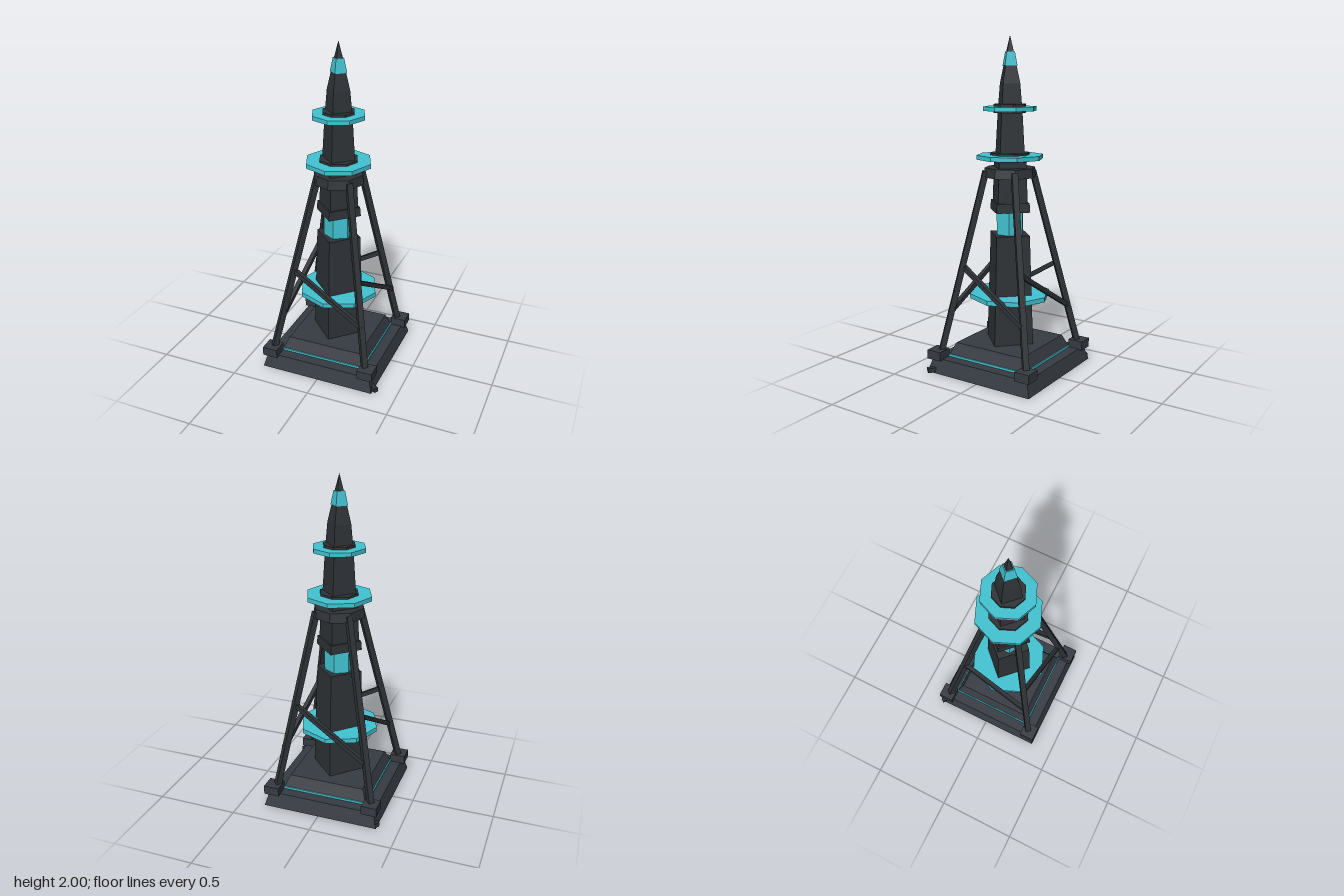
import * as THREE from 'three';

export function createModel() {
  const mat = (name, color) => {
    const m = new THREE.MeshStandardMaterial({ color, flatShading: true });
    m.name = name;
    return m;
  };
  const stone = mat('slate base', 0x363b42);
  const metal = mat('dark metal', 0x2f3337);
  const glow = mat('teal', 0x42c3d2);

  const root = new THREE.Group();
  root.name = 'beaconTower';
  const tower = new THREE.Group();
  tower.name = 'tower';
  tower.position.x = -0.007;
  root.add(tower);

  const add = (name, geometry, material) => {
    const mesh = new THREE.Mesh(geometry, material);
    mesh.name = name;
    tower.add(mesh);
    return mesh;
  };

  // Faceted frustum from y0 to y1, with a corner facing the front
  const frustum = (name, sides, r0, r1, y0, y1, material) => {
    const mesh = add(name, new THREE.CylinderGeometry(r1, r0, y1 - y0, sides), material);
    mesh.position.y = (y0 + y1) / 2;
    return mesh;
  };

  // Square slab with flat sides facing the front; sizes are half-widths
  const slab = (name, h0, h1, y0, y1, material) => {
    frustum(name, 4, h0 * Math.SQRT2, h1 * Math.SQRT2, y0, y1, material).rotation.y = Math.PI / 4;
  };

  // Square bar between two points
  const bar = (name, a, b, width, material) => {
    const mesh = add(name, new THREE.BoxGeometry(width, width, a.distanceTo(b)), material);
    mesh.position.copy(a).add(b).multiplyScalar(0.5);
    mesh.lookAt(b.clone().add(new THREE.Vector3(0, 0, 0)));
    return mesh;
  };

  // Stepped base
  slab('plinth', 0.36, 0.335, 0, 0.088, stone);
  slab('plinthGlowStrip', 0.271, 0.271, 0.088, 0.101, glow);
  slab('upperStep', 0.264, 0.235, 0.101, 0.17, stone);

  // Central column, square in section and set on its corner
  frustum('lowerColumn', 4, 0.167, 0.141, 0.17, 0.835, metal);
  frustum('lightCore', 6, 0.088, 0.088, 0.83, 0.98, glow);
  frustum('columnRim', 4, 0.143, 0.138, 0.975, 1.03, metal);
  frustum('upperColumn', 4, 0.125, 0.113, 1.03, 1.285, metal);
  frustum('legCollar', 8, 0.161, 0.152, 1.18, 1.235, metal);

  // Ring plates and their hubs
  frustum('lowerRing', 8, 0.245, 0.245, 0.445, 0.473, glow);
  frustum('middleHub', 8, 0.122, 0.118, 1.272, 1.322, metal);
  frustum('middleRing', 8, 0.2, 0.2, 1.284, 1.31, glow);
  frustum('upperHub', 8, 0.097, 0.097, 1.555, 1.607, metal);
  frustum('upperRing', 8, 0.16, 0.16, 1.567, 1.592, glow);

  // Spire
  frustum('spireShaft', 4, 0.103, 0.087, 1.32, 1.56, metal);
  frustum('spireNeck', 4, 0.083, 0.071, 1.6, 1.725, metal);
  frustum('spireShoulder', 4, 0.071, 0.046, 1.725, 1.825, metal);
  frustum('spireLight', 4, 0.052, 0.034, 1.825, 1.905, glow);
  frustum('spireTip', 4, 0.028, 0, 1.9, 2, metal);

  // Point on the centre line of the leg at a corner (0 to 3) at height y
  const signs = [[-1, 1], [1, 1], [1, -1], [-1, -1]];
  const legPoint = (corner, y) => {
    const [sx, sz] = signs[corner % 4];
    const d = 0.298 - (y - 0.14) * 0.184;
    return new THREE.Vector3(sx * d, y, sz * d);
  };

  // Legs, feet and one slanted brace on each side
  for (let i = 0; i < 4; i++) {
    bar('leg', legPoint(i, 0.09), legPoint(i, 1.215), 0.035, metal);
    bar('brace', legPoint(i, 0.645), legPoint(i + 1, 0.37), 0.027, metal);
    const foot = add('foot', new THREE.BoxGeometry(0.095, 0.055, 0.095), stone);
    foot.position.set(signs[i][0] * 0.3125, 0.11, signs[i][1] * 0.3125);
  }

  // Short anchor bars at two opposite corners of the plinth
  for (const s of [-1, 1]) {
    const anchor = bar('anchor', new THREE.Vector3(s * 0.29, 0.019, s * 0.275),
      new THREE.Vector3(s * 0.375, 0.019, s * 0.343), 0.028, metal);
    anchor.position.x += 0.007;
  }

  return root;
}
